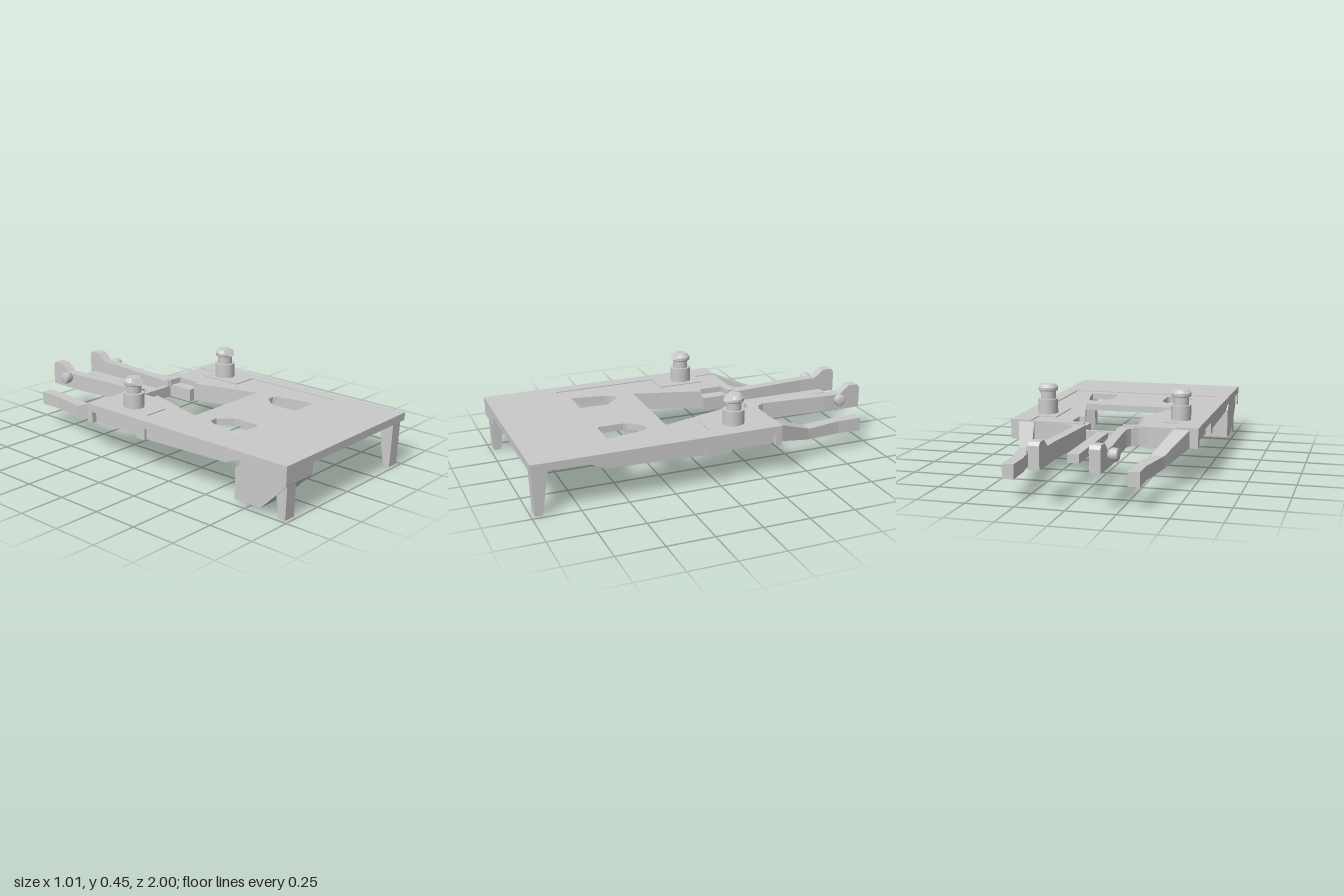
import * as THREE from 'three';

export function createModel() {
  const model = new THREE.Group();
  const grey = new THREE.MeshStandardMaterial({ color: 0xcacaca });
  grey.name = 'grey';

  const add = (name, geo) => {
    const m = new THREE.Mesh(geo, grey);
    m.name = name;
    model.add(m);
  };
  // Reflects a geometry across x = 0 and restores its winding
  const mirrored = (geo) => {
    const g = geo.index ? geo.toNonIndexed() : geo.clone();
    g.scale(-1, 1, 1);
    for (const attr of [g.attributes.position, g.attributes.normal]) {
      const a = attr.array;
      for (let i = 0; i < a.length; i += 9)
        for (let k = 0; k < 3; k++) [a[i + 3 + k], a[i + 6 + k]] = [a[i + 6 + k], a[i + 3 + k]];
    }
    return g;
  };
  const pair = (name, geo) => {
    add(name + 'Left', geo);
    add(name + 'Right', mirrored(geo));
  };
  const box = (x0, x1, y0, y1, z0, z1) =>
    new THREE.BoxGeometry(x1 - x0, y1 - y0, z1 - z0)
      .translate((x0 + x1) / 2, (y0 + y1) / 2, (z0 + z1) / 2);
  const vecs = (pts, s) => pts.map(([a, b]) => new THREE.Vector2(a, s * b));
  // Plan outline [x, z] raised from y0 to y1
  const slab = (pts, y0, y1, holes = []) => {
    const shape = new THREE.Shape(vecs(pts, -1));
    holes.forEach((h) => shape.holes.push(new THREE.Path(vecs(h, -1))));
    return new THREE.ExtrudeGeometry(shape, { depth: y1 - y0, bevelEnabled: false })
      .rotateX(-Math.PI / 2).translate(0, y0, 0);
  };
  // Side profile [z, y] extended from x0 to x1
  const side = (pts, x0, x1) =>
    new THREE.ExtrudeGeometry(new THREE.Shape(vecs(pts, 1)), { depth: x1 - x0, bevelEnabled: false })
      .rotateY(-Math.PI / 2).translate(x1, 0, 0);
  // Rectangular sections [z, xIn, xOut, yBottom, yTop] joined front to back
  const loft = (stations) => {
    const rings = stations.map(([z, a, b, y0, y1]) => [[a, y0, z], [b, y0, z], [b, y1, z], [a, y1, z]]);
    const p = [];
    const quad = (a, b, c, d) => p.push(...a, ...b, ...c, ...a, ...c, ...d);
    for (let i = 0; i < rings.length - 1; i++)
      for (let j = 0; j < 4; j++) {
        const k = (j + 1) % 4;
        quad(rings[i][j], rings[i + 1][j], rings[i + 1][k], rings[i][k]);
      }
    quad(...rings[0]);
    quad(...[...rings[rings.length - 1]].reverse());
    const g = new THREE.BufferGeometry();
    g.setAttribute('position', new THREE.Float32BufferAttribute(p, 3));
    g.computeVertexNormals();
    return g;
  };
  const both = (half) => [...half, ...half.map(([x, z]) => [-x, z]).reverse()];

  // Main plate with tapered opening and two windows
  const outline = [[0.505, 1], [0.505, -0.345], [0.105, -0.345], [0.105, -0.31], [0.18, -0.3],
    [0.18, -0.165], [0.148, -0.165], [0.255, 0.208]];
  const windowL = [[0.315, 0.55], [0.285, 0.37], [0.27, 0.335], [0.255, 0.32], [0.215, 0.32],
    [0.155, 0.39], [0.15, 0.41], [0.15, 0.537], [0.165, 0.55]];
  add('plate', slab(both(outline), 0.245, 0.281,
    [windowL, windowL.map(([x, z]) => [-x, z])]));
  // Raised border around the shallow panel
  add('border', slab(both([[0.505, 1], [0.505, -0.345], [0.39, -0.345], [0.39, -0.225], [0.29, -0.225],
    [0.29, 0.03], [0.43, 0.03], [0.43, 0.61]]), 0.281, 0.286));

  // Underside ribs: outer rails, side tabs, converging walls and rear wall
  pair('outerRail', side([[0.72, 0.246], [0.62, 0.2], [0.08, 0.183], [0.08, 0.246]], 0.415, 0.49));
  pair('sideWall', box(0.415, 0.475, 0.182, 0.246, -0.345, 0.09));
  pair('frontTab', box(0.415, 0.504, 0.18, 0.246, 0.025, 0.085));
  pair('rearTab', box(0.415, 0.504, 0.18, 0.246, -0.345, -0.31));
  pair('convergingWall', loft([[0.72, 0.404, 0.434, 0.2455, 0.246], [0.62, 0.375, 0.405, 0.2, 0.246],
    [0.08, 0.219, 0.249, 0.183, 0.246], [-0.165, 0.148, 0.178, 0.18, 0.246]]));
  pair('lug', box(0.115, 0.18, 0.18, 0.25, -0.345, -0.165));
  pair('rearWall', box(0.17, 0.46, 0.182, 0.246, -0.345, -0.31));

  // Front legs
  pair('frontLeg', side([[0.99, 0.246], [0.98, 0], [0.942, 0], [0.905, 0.246]], 0.413, 0.481));

  // Corner box with a long sloping front and a round socket underneath
  add('cornerBox', side([[0.998, 0.246], [0.998, 0.185], [0.863, 0.05], [0.68, 0.05],
    [0.68, 0.187], [0.735, 0.246]], -0.49, -0.3));
  add('cornerBoxToe', side([[0.863, 0.05], [0.84, 0.027], [0.84, 0.05]], -0.49, -0.3));
  const socket = Array.from({ length: 20 }, (_, i) => {
    const a = (i / 20) * Math.PI * 2;
    return [-0.395 + 0.035 * Math.cos(a), 0.76 + 0.035 * Math.sin(a)];
  });
  add('cornerBoxBase', slab([[-0.49, 0.84], [-0.3, 0.84], [-0.3, 0.68], [-0.49, 0.68]], 0.027, 0.05, [socket]));
  add('cornerLip', box(-0.504, -0.485, 0.18, 0.246, 0.97, 0.998));

  // Cross bar and middle prong
  add('crossBar', box(-0.12, 0.12, 0.18, 0.243, -0.345, -0.318));
  add('middleProng', box(-0.03, 0.03, 0.195, 0.24, -0.86, -0.34));

  // Inner arms with flared root and raised tips
  pair('innerArm', loft([[-0.32, 0.1, 0.25, 0.182, 0.275], [-0.345, 0.09, 0.24, 0.182, 0.275],
    [-0.355, 0.09, 0.195, 0.182, 0.275], [-0.375, 0.09, 0.16, 0.182, 0.275],
    [-0.41, 0.091, 0.145, 0.182, 0.275], [-0.6, 0.105, 0.158, 0.184, 0.275],
    [-0.78, 0.12, 0.175, 0.184, 0.275], [-0.875, 0.12, 0.175, 0.184, 0.275],
    [-0.93, 0.12, 0.175, 0.184, 0.318], [-0.985, 0.12, 0.175, 0.184, 0.318],
    [-1, 0.12, 0.175, 0.184, 0.3]]));
  // Knobs on the inner arms
  const knob = [[0, 0], [0.025, 0], [0.025, 0.015], [0.032, 0.017], [0.032, 0.045], [0.026, 0.054], [0, 0.054]]
    .map(([r, y]) => new THREE.Vector2(r, y));
  pair('knob', new THREE.LatheGeometry(knob, 20).toNonIndexed()
    .rotateZ(-Math.PI / 2).translate(0.172, 0.25, -0.86));

  // Outer arms bending inward and down
  pair('outerArm', loft([[-0.23, 0.4, 0.47, 0.2, 0.28], [-0.345, 0.375, 0.46, 0.18, 0.275],
    [-0.57, 0.31, 0.38, 0.124, 0.187], [-0.78, 0.28, 0.34, 0.114, 0.185],
    [-0.915, 0.28, 0.34, 0.111, 0.185]]));

  // Locating posts: wide base, neck and chamfered head cut steeply at the front
  const place = (g, y) => g.translate(0.37, y, -0.125);
  pair('postBase', place(new THREE.CylinderGeometry(0.053, 0.053, 0.085, 24).scale(1, 1, 1.1), 0.3225));
  pair('postNeck', place(new THREE.CylinderGeometry(0.041, 0.041, 0.05, 24), 0.3875));
  const head = new THREE.LatheGeometry([[0, 0], [0.05, 0], [0.053, 0.006], [0.053, 0.02], [0.036, 0.038],
    [0.018, 0.038], [0, 0.038]].map(([r, y]) => new THREE.Vector2(r, y)), 24).toNonIndexed();
  const p = head.attributes.position;
  for (let i = 0; i < p.count; i++)
    p.setY(i, Math.min(p.getY(i), 0.038 - Math.max(0, p.getZ(i) - 0.015)));
  head.computeVertexNormals();
  pair('postHead', place(head, 0.409));

  return model;
}
